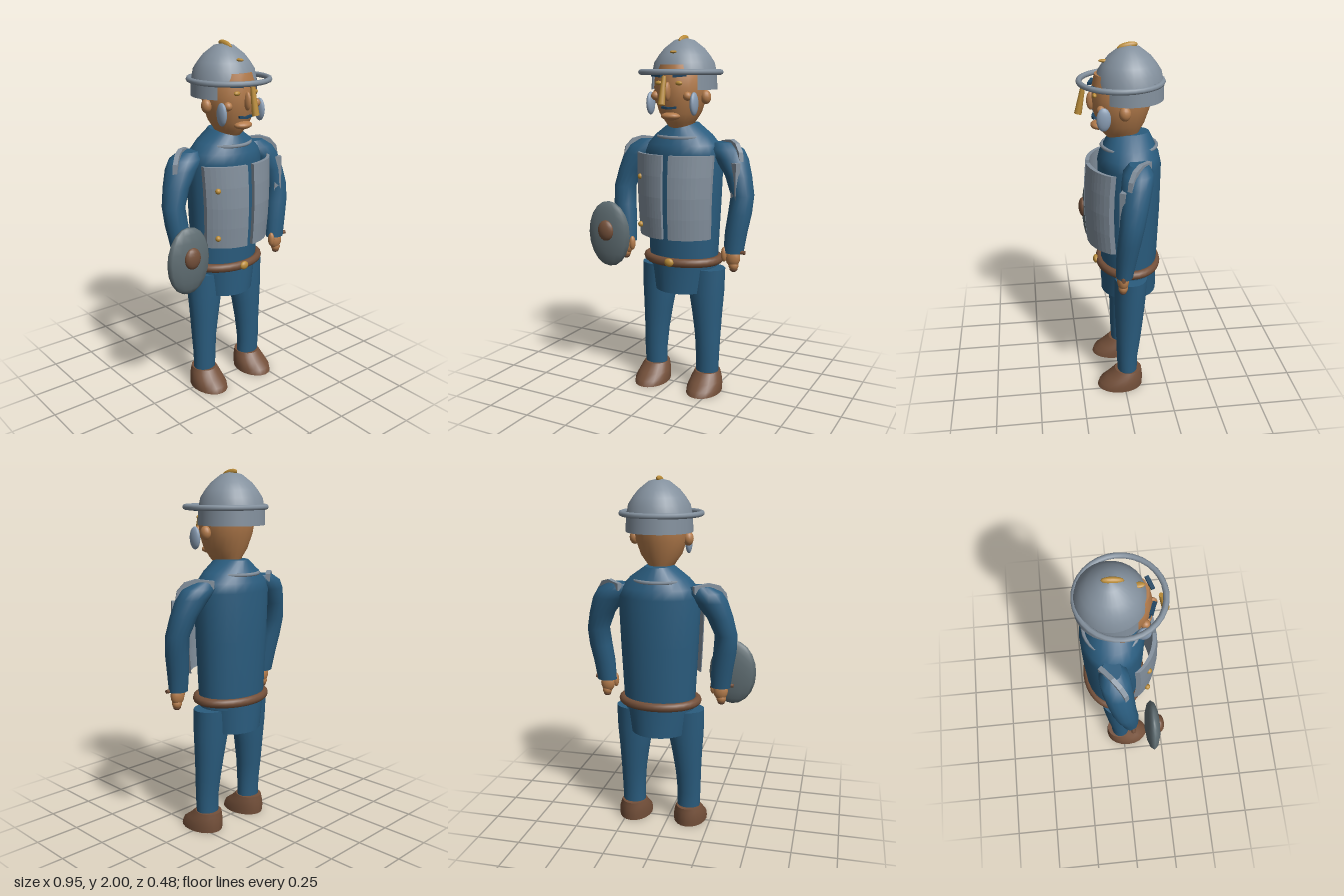
import * as THREE from 'three';

const CX = 0.04; // body axis

const mat = (name, color, side = THREE.FrontSide) => {
  const m = new THREE.MeshStandardMaterial({ color, side });
  m.name = name;
  return m;
};

// Stack of elliptical rings [y, cx, cz, rx, rz], bottom to top, with flat caps
function loft(rings, n = 20) {
  const pos = [], idx = [];
  const ring = ([y, cx, cz, rx, rz]) => {
    const start = pos.length / 3;
    for (let j = 0; j < n; j++) {
      const t = (j / n) * Math.PI * 2;
      pos.push(cx + rx * Math.sin(t), y, cz + rz * Math.cos(t));
    }
    return start;
  };
  const starts = rings.map(ring);
  for (let i = 0; i < starts.length - 1; i++) {
    for (let j = 0; j < n; j++) {
      const k = (j + 1) % n, a = starts[i], b = starts[i + 1];
      idx.push(a + j, a + k, b + k, a + j, b + k, b + j);
    }
  }
  [rings[0], rings[rings.length - 1]].forEach((r, end) => {
    const s = ring(r), c = pos.length / 3;
    pos.push(r[1], r[0], r[2]);
    for (let j = 0; j < n; j++) {
      const k = (j + 1) % n;
      if (end) idx.push(c, s + j, s + k);
      else idx.push(c, s + k, s + j);
    }
  });
  const g = new THREE.BufferGeometry();
  g.setAttribute('position', new THREE.Float32BufferAttribute(pos, 3));
  g.setIndex(idx);
  g.computeVertexNormals();
  return g;
}

export function createModel() {
  const root = new THREE.Group();
  root.name = 'guard';
  const blue = mat('blue cloth', 0x2a5c7e);
  const steel = mat('steel', 0x83909d, THREE.DoubleSide);
  const silver = mat('pale steel', 0x8b9fb6);
  const shieldGrey = mat('shield grey', 0x5f6d72);
  const skin = mat('skin', 0xb47c4c);
  const brown = mat('brown leather', 0x74503a);
  const gold = mat('gold', 0xba8c38);
  const navy = mat('dark blue', 0x1f4562);

  const add = (name, geo, material, p = [0, 0, 0], r = [0, 0, 0]) => {
    const m = new THREE.Mesh(geo, material);
    m.name = name;
    m.position.set(...p);
    m.rotation.set(...r);
    root.add(m);
    return m;
  };
  const ball = (name, material, p, s, r, w = 16, h = 10) => {
    const m = add(name, new THREE.SphereGeometry(1, w, h), material, p, r);
    m.scale.set(...s);
    return m;
  };

  // Torso, collar and hips
  add('torso', loft([
    [0.72, CX, -0.045, 0.2, 0.152], [0.8, CX, -0.045, 0.205, 0.157], [1.1, CX, -0.045, 0.22, 0.168],
    [1.36, CX, -0.045, 0.23, 0.171], [1.41, CX, -0.045, 0.21, 0.16],
    [1.46, CX, -0.045, 0.165, 0.137], [1.525, CX, -0.045, 0.075, 0.107],
  ], 24), blue);
  add('hips', loft([
    [0.578, CX, -0.045, 0.165, 0.157], [0.74, CX, -0.045, 0.195, 0.157],
  ], 24), blue);
  add('collarRing', new THREE.TorusGeometry(0.147, 0.01, 6, 28), steel, [CX, 1.452, -0.045], [Math.PI / 2, 0, 0]);
  const belt = add('belt', new THREE.TorusGeometry(0.212, 0.025, 10, 32), brown, [CX, 0.762, -0.04], [Math.PI / 2, 0, 0]);
  belt.scale.set(1, 0.77, 1);
  ball('buckle', gold, [CX, 0.765, 0.142], [0.028, 0.024, 0.016]);

  // Two curved breast plates
  for (const s of [-1, 1]) {
    const shape = new THREE.Shape();
    const arc = (a, b, k) => {
      const x = s * (0.02 + 0.21 * k);
      return [x, b * Math.sqrt(1 - (x / a) ** 2)];
    };
    for (let i = 0; i <= 10; i++) {
      const [x, z] = arc(0.27, 0.235, i / 10);
      if (i) shape.lineTo(x, -z); else shape.moveTo(x, -z);
    }
    for (let i = 10; i >= 0; i--) {
      const [x, z] = arc(0.258, 0.213, i / 10);
      shape.lineTo(x, -z);
    }
    const g = new THREE.ExtrudeGeometry(shape, { depth: 0.46, bevelEnabled: false, steps: 4 });
    g.rotateX(-Math.PI / 2);
    const p = g.attributes.position;
    for (let i = 0; i < p.count; i++) {
      const d = 1 - p.getY(i) / 0.46;
      p.setX(i, p.getX(i) * (1 - 0.07 * d));
      p.setZ(i, p.getZ(i) + 0.012 * Math.sin(d * Math.PI));
    }
    g.computeVertexNormals();
    add(s < 0 ? 'rightBreastPlate' : 'leftBreastPlate', g, steel, [CX, 0.903, -0.045]);
  }
  for (const y of [1.235, 0.965]) ball('rivet', gold, [-0.14, y, 0.135], [0.016, 0.016, 0.016]);

  // Limbs, mirrored about the body axis
  for (const s of [-1, 1]) {
    const side = s < 0 ? 'right' : 'left';
    const X = (d) => CX + s * d;
    add(side + 'Leg', loft([
      [0.08, X(0.165), -0.02, 0.066, 0.056], [0.2, X(0.167), -0.018, 0.068, 0.06],
      [0.32, X(0.164), -0.025, 0.074, 0.07], [0.45, X(0.157), -0.03, 0.087, 0.08],
      [0.58, X(0.149), -0.035, 0.104, 0.088], [0.715, X(0.147), -0.04, 0.108, 0.091],
    ]), blue);
    add(side + 'Boot', loft([
      [0, X(0.168), 0.025, 0.097, 0.132], [0.03, X(0.168), 0.018, 0.097, 0.127],
      [0.06, X(0.167), -0.002, 0.09, 0.106], [0.085, X(0.166), -0.015, 0.082, 0.09],
      [0.108, X(0.165), -0.025, 0.072, 0.078],
    ]), brown);
    add(side + 'Arm', loft([
      [0.835, X(0.335), 0.022, 0.056, 0.045], [0.95, X(0.345), 0.012, 0.062, 0.056],
      [1.05, X(0.36), 0, 0.065, 0.062], [1.15, X(0.367), -0.015, 0.063, 0.066],
      [1.25, X(0.335), -0.032, 0.073, 0.074], [1.34, X(0.287), -0.048, 0.094, 0.082],
      [1.39, X(0.25), -0.058, 0.1, 0.078], [1.425, X(0.225), -0.065, 0.06, 0.05],
    ], 16), blue);

    // Hand with wrist band
    ball(side + 'Palm', skin, [X(0.335), 0.81, 0.03], [0.042, 0.055, 0.032]);
    ball(side + 'Thumb', skin, [X(0.29), 0.825, 0.045], [0.018, 0.042, 0.02]);
    ball(side + 'Fingers', skin, [X(0.34), 0.765, 0.03], [0.028, 0.03, 0.026]);
    ball(side + 'Fingertips', brown, [X(0.34), 0.745, 0.03], [0.022, 0.017, 0.02]);
    add(side + 'WristBand', new THREE.CylinderGeometry(0.011, 0.011, 0.125, 8), brown,
      [X(0.345), 0.843, 0.035], [0, 0, Math.PI / 2]);

    // Shoulder guard: bent strip standing in a diagonal plane
    const strip = new THREE.Shape();
    [[0, 1.43], [0.095, 1.442], [0.155, 1.425], [0.195, 1.38], [0.215, 1.26],
      [0.17, 1.265], [0.15, 1.36], [0, 1.39]].forEach(([a, b], i) => i ? strip.lineTo(a, b) : strip.moveTo(a, b));
    const sg = new THREE.ExtrudeGeometry(strip, { depth: 0.026, bevelEnabled: false });
    sg.translate(0, 0, -0.013);
    add(side + 'ShoulderGuard', sg, steel, [X(0.205), 0, -0.125], [0, s > 0 ? -0.67 : Math.PI + 0.67, 0]);

    // Ears, cheek guards and face
    ball(side + 'Ear', skin, [X(0.15), 1.668, -0.003], [0.028, 0.038, 0.031]);
    ball(side + 'CheekGuard', silver, [X(0.13), 1.635, 0.103], [0.019, 0.062, 0.038]);
    ball(side + 'Cheek', skin, [X(0.096), 1.675, 0.112], [0.024, 0.024, 0.024]);
    ball(side + 'Eye', gold, [X(0.06), 1.743, 0.142], [0.02, 0.012, 0.012]);
    add(side + 'Brow', new THREE.BoxGeometry(0.07, 0.014, 0.02), navy,
      [X(0.067), 1.782, 0.148], [0, s * 0.35, s * 0.08]);
    add(side + 'Moustache', new THREE.BoxGeometry(0.044, 0.012, 0.016), navy,
      [X(0.02), 1.613, 0.142], [0, s * 0.2, s * 0.12]);
  }
  add('leftArmStrip', new THREE.BoxGeometry(0.04, 0.25, 0.03), steel, [0.382, 1.2, 0.028], [0, -0.5, 0]);

  // Head
  add('head', loft([
    [1.5, CX, -0.01, 0.06, 0.08], [1.533, CX, 0, 0.078, 0.1], [1.58, CX, 0, 0.112, 0.125],
    [1.66, CX, -0.002, 0.139, 0.15], [1.72, CX, -0.006, 0.144, 0.16],
    [1.78, CX, -0.01, 0.14, 0.16], [1.84, CX, -0.01, 0.116, 0.148],
  ], 24), skin);
  ball('chin', skin, [CX, 1.568, 0.12], [0.055, 0.022, 0.04]);
  ball('nose', skin, [CX, 1.7, 0.155], [0.016, 0.05, 0.025]);
  add('noseGuard', new THREE.CylinderGeometry(0.012, 0.02, 0.15, 8), gold, [CX, 1.706, 0.209], [-0.2, 0, 0]);

  // Helmet
  const dome = [[0.178, 1.79], [0.166, 1.85], [0.14, 1.89], [0.11, 1.927], [0.055, 1.97], [0.001, 1.983]]
    .map(([r, y]) => new THREE.Vector2(r, y));
  add('helmetDome', new THREE.LatheGeometry(dome, 28), steel, [CX, 0, -0.045]);
  add('neckGuard', new THREE.CylinderGeometry(0.178, 0.181, 0.09, 28, 1, true, 0.85, Math.PI * 2 - 1.7),
    steel, [CX, 1.752, -0.045]);
  add('helmetBrim', new THREE.TorusGeometry(0.217, 0.015, 8, 32), steel, [CX, 1.8, 0], [Math.PI / 2, 0, 0]);
  ball('crest', gold, [CX, 1.975, -0.033], [0.016, 0.02, 0.054], [0.2, 0, 0]);
  ball('helmetStud', gold, [CX, 1.905, 0.085], [0.016, 0.008, 0.03]);

  // Round shield
  ball('shield', shieldGrey, [-0.345, 0.89, 0.142], [0.136, 0.19, 0.043], [0, 0, 0], 12, 10);
  ball('shieldBoss', brown, [-0.345, 0.915, 0.18], [0.05, 0.06, 0.027]);

  return root;
}
